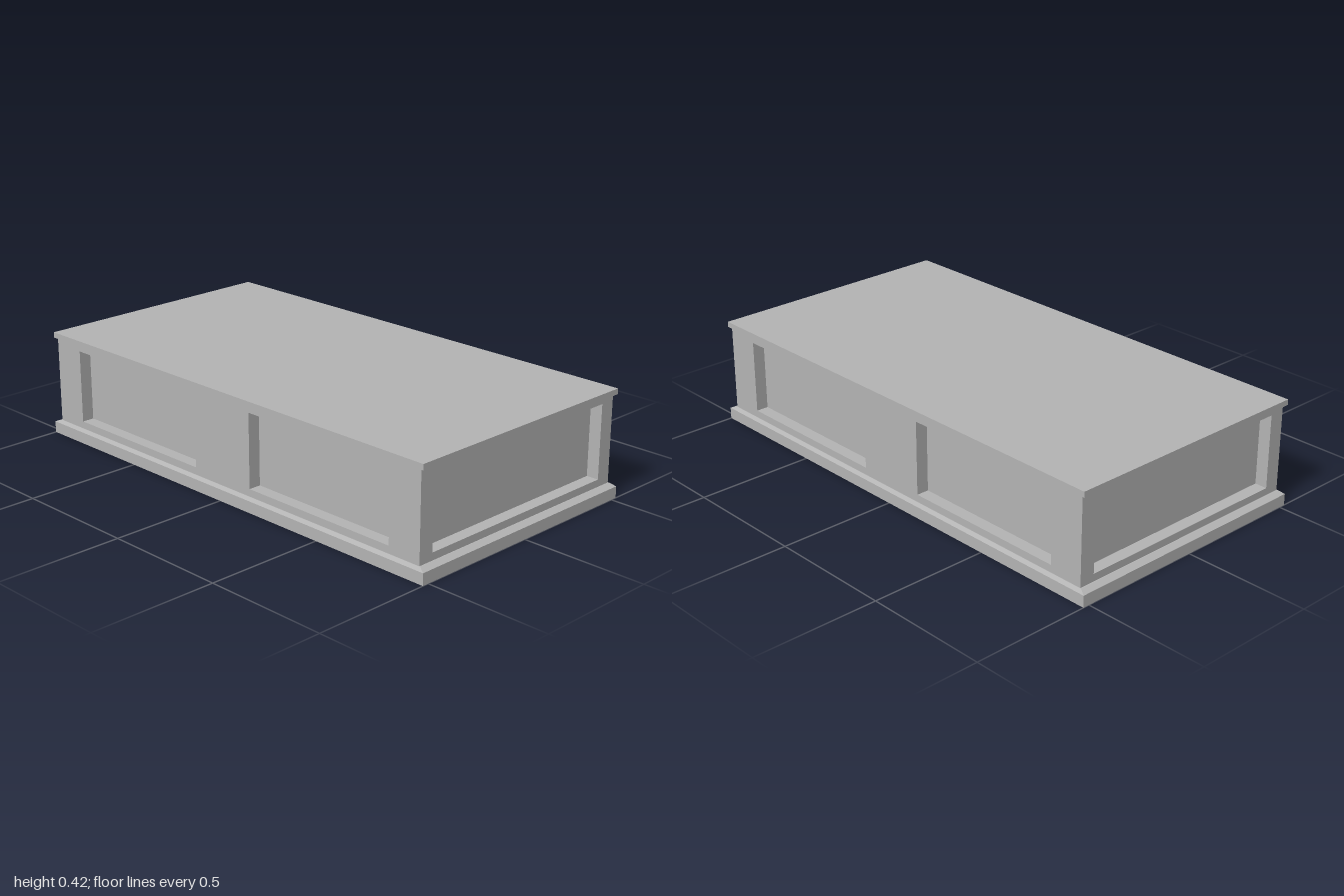
import * as THREE from 'three';

const BODY_X = 0.971, BODY_Z = 0.512; // half sizes of the body
const BODY_BOTTOM = 0.057, BODY_TOP = 0.402;
const PANEL_BOTTOM = 0.086, PANEL_TOP = 0.378;
const DEPTH = 0.05; // recess depth

// Closed rectangle path, used for outlines and holes
function rectPath(path, x0, x1, y0, y1) {
  path.moveTo(x0, y0);
  path.lineTo(x1, y0);
  path.lineTo(x1, y1);
  path.lineTo(x0, y1);
  path.closePath();
  return path;
}

// Framed wall with rectangular openings, outer face towards +z
function wallGeometry(halfWidth, openings) {
  const shape = rectPath(new THREE.Shape(), -halfWidth, halfWidth, BODY_BOTTOM, BODY_TOP);
  for (const [x0, x1] of openings) {
    shape.holes.push(rectPath(new THREE.Path(), x0, x1, PANEL_BOTTOM, PANEL_TOP));
  }
  return new THREE.ExtrudeGeometry(shape, { depth: DEPTH, bevelEnabled: false });
}

// Box whose top face is resized to make a sloping moulding
function taperedBox(x, z, topX, topZ, y0, y1) {
  const geometry = new THREE.BoxGeometry(2 * x, y1 - y0, 2 * z);
  geometry.translate(0, (y0 + y1) / 2, 0);
  const p = geometry.attributes.position;
  for (let i = 0; i < p.count; i++) {
    if (p.getY(i) > (y0 + y1) / 2) {
      p.setX(i, Math.sign(p.getX(i)) * topX);
      p.setZ(i, Math.sign(p.getZ(i)) * topZ);
    }
  }
  geometry.computeVertexNormals();
  return geometry;
}

export function createModel() {
  const group = new THREE.Group();
  group.name = 'panelledPlatform';
  const grey = new THREE.MeshStandardMaterial({ color: 0xb3b3b3 });
  grey.name = 'grey';

  const add = (name, geometry) => {
    const mesh = new THREE.Mesh(geometry, grey);
    mesh.name = name;
    group.add(mesh);
    return mesh;
  };

  // Plinth with its sloping upper edge
  add('plinth', taperedBox(1, 0.526, 1, 0.526, 0, 0.046));
  add('plinthMoulding', taperedBox(1, 0.526, 0.976, 0.514, 0.046, BODY_BOTTOM));

  // Core, whose faces are the recessed panels
  const coreX = BODY_X - DEPTH, coreZ = BODY_Z - DEPTH;
  add('recessedPanels', taperedBox(coreX, coreZ, coreX, coreZ, BODY_BOTTOM, BODY_TOP));

  // Long walls with two openings, short walls with one
  const longWall = wallGeometry(BODY_X, [[-0.832, -0.147], [0.147, 0.832]]);
  const shortWall = wallGeometry(coreZ, [[-0.45, 0.45]]);
  for (const side of [1, -1]) {
    const long = add(side > 0 ? 'frontWall' : 'backWall', longWall);
    long.position.z = side * coreZ;
    long.rotation.y = side > 0 ? 0 : Math.PI;
    const short = add(side > 0 ? 'leftWall' : 'rightWall', shortWall);
    short.position.x = side * coreX;
    short.rotation.y = side * Math.PI / 2;
  }

  // Overhanging top slab
  add('topSlab', taperedBox(0.986, 0.52, 0.986, 0.52, BODY_TOP, 0.424));
  return group;
}
